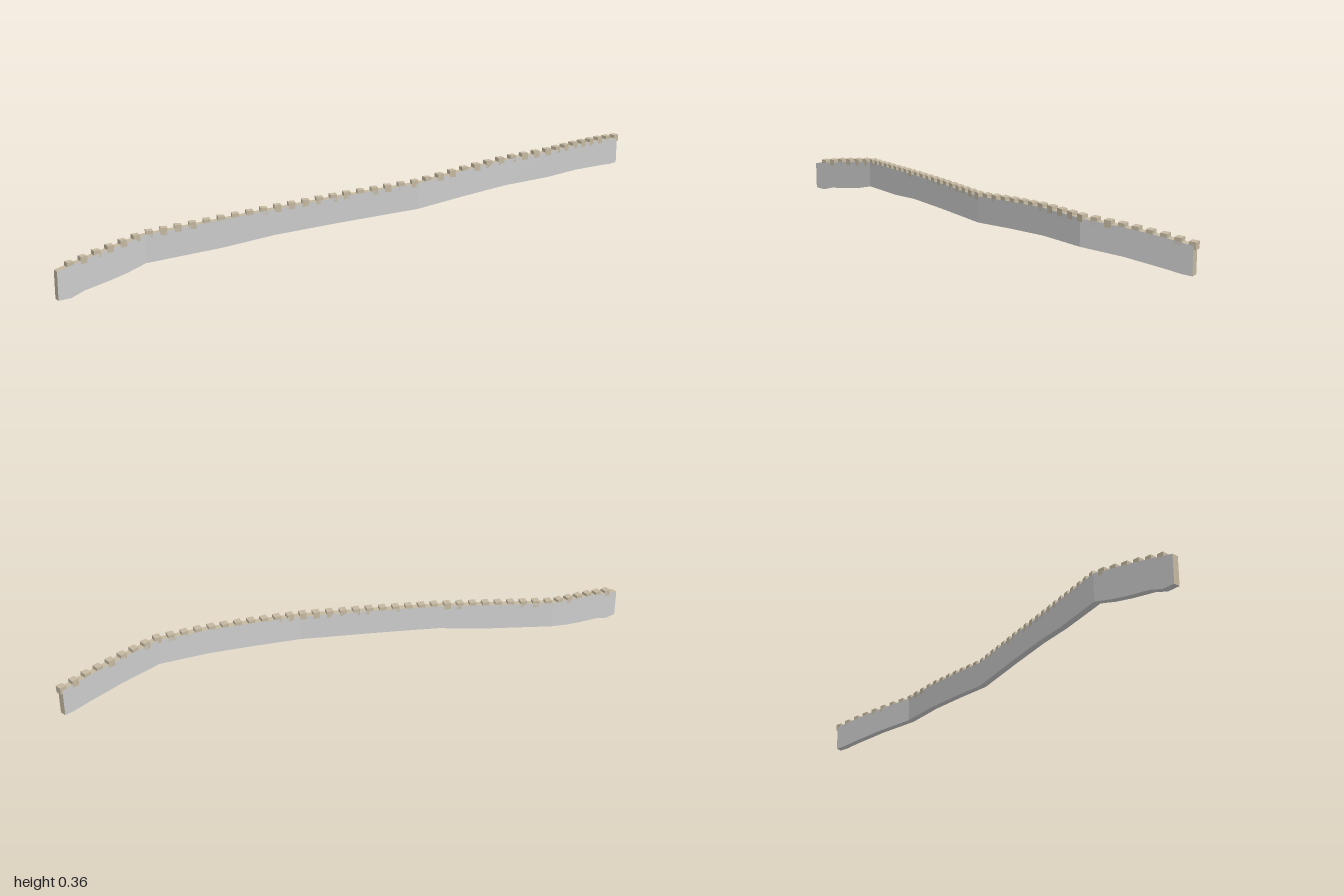
import * as THREE from 'three';

const HALF = 0.0128;      // half the wall thickness
const PITCH = 0.0525;     // distance between merlons
const MERLON = 0.026;     // merlon length along the wall

// Plan line of the wall as [z, x]
const plan = [[0.995, -0.6], [0.67, -0.472], [0.325, -0.155], [-0.1, 0.21], [-0.585, 0.502], [-0.997, 0.599]];
// Heights along the wall as [z, y]
const foot = [[0.995, 0], [0.95, 0], [0.9, 0.018], [0.81, 0.034], [0.74, 0.05], [0.67, 0.071], [0.46, 0.108],
  [0.32, 0.141], [0.13, 0.167], [-0.1, 0.195], [-0.26, 0.219], [-0.42, 0.24], [-0.585, 0.25], [-0.75, 0.247],
  [-0.9, 0.236], [-0.96, 0.23], [-0.997, 0.23]];
const crest = [[0.995, 0.108], [0.85, 0.142], [0.67, 0.177], [0.32, 0.239], [0.13, 0.266], [-0.1, 0.294],
  [-0.26, 0.319], [-0.42, 0.34], [-0.585, 0.35], [-0.75, 0.348], [-0.9, 0.341], [-0.997, 0.332]];

// Linear lookup in a table ordered from front to back
function lookup(table, z) {
  let i = 1;
  while (i < table.length - 1 && z < table[i][0]) i++;
  const [a, b] = [table[i - 1], table[i]];
  return THREE.MathUtils.lerp(a[1], b[1], (z - a[0]) / (b[0] - a[0]));
}

// Surface from a list of four-cornered faces
function quads(list, material, name) {
  const positions = [];
  for (const [a, b, c, d] of list) for (const p of [a, b, c, a, c, d]) positions.push(...p);
  const geometry = new THREE.BufferGeometry();
  geometry.setAttribute('position', new THREE.Float32BufferAttribute(positions, 3));
  geometry.computeVertexNormals();
  const mesh = new THREE.Mesh(geometry, material);
  mesh.name = name;
  return mesh;
}

// Four corners of the wall's section at a given z, mitred at the bends
function section(z) {
  const x = lookup(plan, z);
  const direction = (dz) => {
    const q = THREE.MathUtils.clamp(z + dz, -0.997, 0.995);
    return new THREE.Vector2(lookup(plan, q) - x, q - z).multiplyScalar(-Math.sign(dz)).normalize();
  };
  let before = direction(0.001), after = direction(-0.001);
  if (before.lengthSq() === 0) before = after.clone().negate();
  if (after.lengthSq() === 0) after = before.clone().negate();
  // both directions turned to point from front to back
  if (before.y > 0) before.negate();
  if (after.y > 0) after.negate();
  const mean = before.clone().add(after).normalize();
  const w = HALF / mean.dot(after);
  const nx = -mean.y * w, nz = mean.x * w;
  const low = lookup(foot, z), high = lookup(crest, z);
  return {
    leftLow: [x + nx, low, z + nz], leftHigh: [x + nx, high, z + nz],
    rightLow: [x - nx, low, z - nz], rightHigh: [x - nx, high, z - nz],
  };
}

export function createModel() {
  const group = new THREE.Group();
  const grey = new THREE.MeshStandardMaterial({ color: 0xcccccc, flatShading: true });
  const stone = new THREE.MeshStandardMaterial({ color: 0xc4b8a0, flatShading: true });

  // Wall body, swept through every change of height or direction
  const stops = [...new Set([...plan, ...foot, ...crest].map((p) => p[0]))].sort((a, b) => b - a);
  const sections = stops.map(section);
  const faces = [], walk = [];
  for (let i = 0; i < sections.length - 1; i++) {
    const a = sections[i], b = sections[i + 1];
    faces.push([a.leftLow, b.leftLow, b.leftHigh, a.leftHigh]);
    faces.push([b.rightLow, a.rightLow, a.rightHigh, b.rightHigh]);
    faces.push([a.rightLow, b.rightLow, b.leftLow, a.leftLow]);
    walk.push([a.leftHigh, b.leftHigh, b.rightHigh, a.rightHigh]);
  }
  const f = sections[0], r = sections[sections.length - 1];
  const ends = [
    [f.rightLow, f.leftLow, f.leftHigh, f.rightHigh],
    [r.leftLow, r.rightLow, r.rightHigh, r.leftHigh],
  ];
  group.add(quads(faces, grey, 'wallSides'));
  group.add(quads(walk, stone, 'wallTop'));
  group.add(quads(ends, stone, 'wallEnds'));

  // Merlons at an even pitch along the plan line
  const merlons = new THREE.Group();
  merlons.name = 'merlons';
  const box = new THREE.BoxGeometry(HALF * 2, 0.026, MERLON);
  let next = PITCH;
  for (let i = 0; i < plan.length - 1; i++) {
    const [z0, x0] = plan[i], [z1, x1] = plan[i + 1];
    const length = Math.hypot(x1 - x0, z1 - z0);
    for (; next < length; next += PITCH) {
      const t = next / length;
      const z = THREE.MathUtils.lerp(z0, z1, t);
      const merlon = new THREE.Mesh(box, stone);
      merlon.name = 'merlon';
      merlon.position.set(THREE.MathUtils.lerp(x0, x1, t), lookup(crest, z) + 0.0, z);
      merlon.rotation.y = Math.atan2(x1 - x0, z1 - z0);
      merlons.add(merlon);
    }
    next -= length;
  }
  group.add(merlons);
  return group;
}
